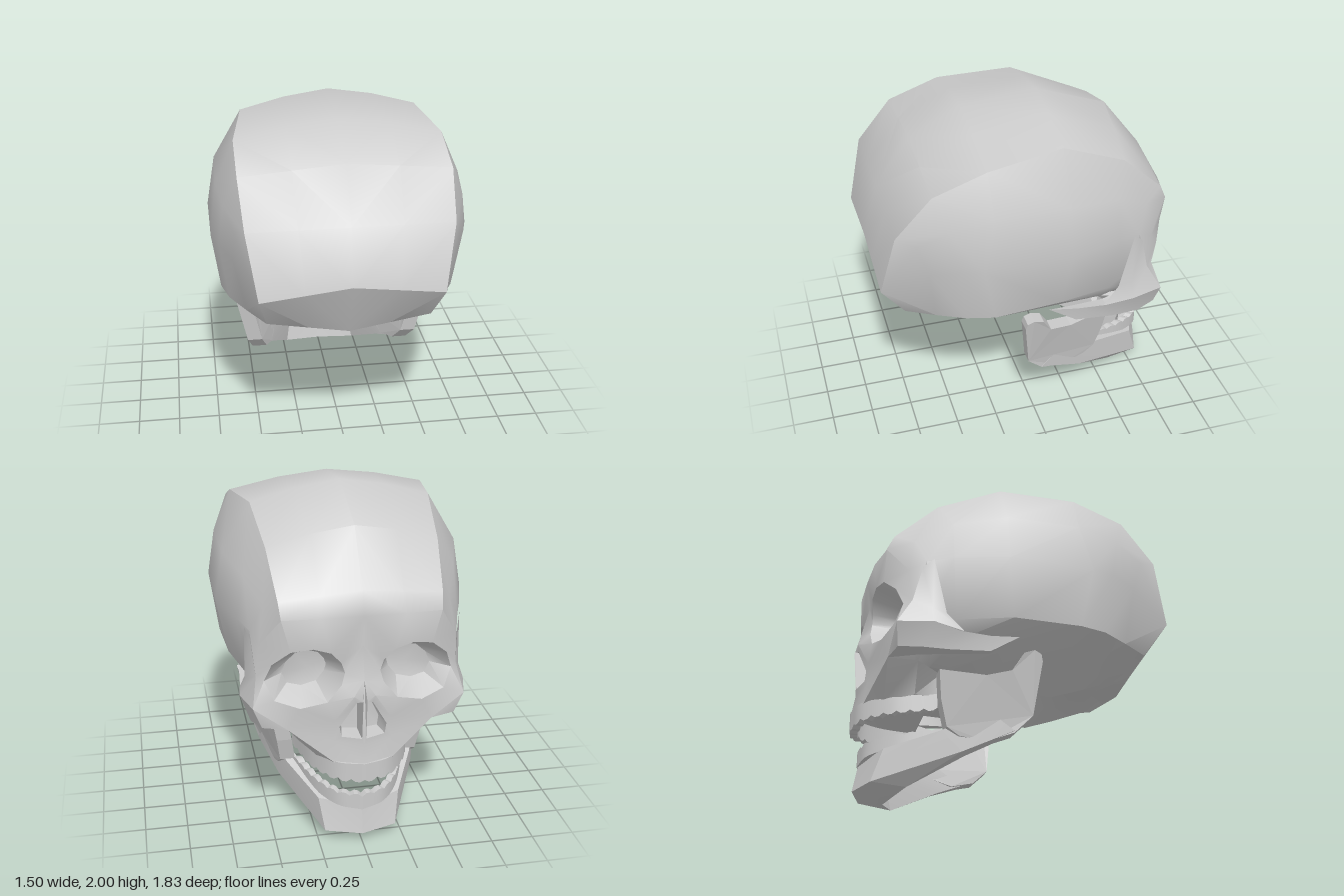
import * as THREE from 'three';
import { toCreasedNormals } from 'three/addons/utils/BufferGeometryUtils.js';

const bone = new THREE.MeshStandardMaterial({ color: 0xcccccc, side: THREE.DoubleSide });
const lerp = (p, q, t) => p.map((v, i) => v + (q[i] - v) * t);
const close = (ring) => [...ring, ring[0]];

// Skins grids of points (rows of columns) and mirrors them across x = 0
function mirroredSurface(name, grids, crease = 0.6) {
  const pos = [];
  const A = new THREE.Vector3(), B = new THREE.Vector3(), C = new THREE.Vector3();
  const tri = (a, b, c) => {
    A.fromArray(a); B.fromArray(b).sub(A); C.fromArray(c).sub(A);
    if (B.cross(C).length() < 1e-6) return;
    pos.push(...a, ...b, ...c);
    for (const p of [a, c, b]) pos.push(-p[0], p[1], p[2]);
  };
  for (const rows of grids) {
    for (let i = 0; i < rows.length - 1; i++) {
      for (let j = 0; j < rows[i].length - 1; j++) {
        tri(rows[i][j], rows[i + 1][j], rows[i + 1][j + 1]);
        tri(rows[i][j], rows[i + 1][j + 1], rows[i][j + 1]);
      }
    }
  }
  const g = new THREE.BufferGeometry();
  g.setAttribute('position', new THREE.Float32BufferAttribute(pos, 3));
  const mesh = new THREE.Mesh(toCreasedNormals(g, crease), bone);
  mesh.name = name;
  return mesh;
}

// Closed bar through four-cornered sections, with both ends capped
function bar(name, sections) {
  const caps = [sections[0], sections.at(-1)].map((s) => [[s[0], s[1]], [s[3], s[2]]]);
  return mirroredSurface(name, [sections.map(close), ...caps], 0.5);
}

// Pair of flat plates from a (z, y) outline, set sideways by a rule
function plates(name, outline, depth, xAt) {
  const group = new THREE.Group();
  group.name = name;
  const shape = new THREE.Shape(outline.map(([z, y]) => new THREE.Vector2(-z, y)));
  const g = new THREE.ExtrudeGeometry(shape, { depth, bevelEnabled: false });
  g.rotateY(Math.PI / 2);
  for (const side of [1, -1]) {
    const h = g.clone(), p = h.attributes.position;
    for (let i = 0; i < p.count; i++) p.setX(i, side * (p.getX(i) + xAt(p.getY(i), p.getZ(i))));
    if (side < 0) {
      // restore outward winding on the mirrored plate
      const a = p.array;
      for (let i = 0; i < a.length; i += 9) {
        for (let k = 0; k < 3; k++) [a[i + 3 + k], a[i + 6 + k]] = [a[i + 6 + k], a[i + 3 + k]];
      }
    }
    h.computeVertexNormals();
    group.add(new THREE.Mesh(h, bone));
  }
  return group;
}

// Row of teeth with a jagged biting edge; roots and tips are [front, back] heights
function teeth(name, arch, roots, tips) {
  const curve = new THREE.CatmullRomCurve3(arch.map(([x, z]) => new THREE.Vector3(x, 0, z)));
  const steps = 24;
  const sections = [];
  for (let i = 0; i <= steps; i++) {
    const t = i / steps, p = curve.getPointAt(t);
    const root = roots[0] + (roots[1] - roots[0]) * t;
    const tip = tips[0] + (tips[1] - tips[0]) * t;
    const bite = i % 3 ? tip : tip + (root - tip) * 0.15;
    const inX = p.x * 0.87, inZ = p.z + 0.05 * (1 - t);
    sections.push([[p.x, root, p.z], [p.x, bite, p.z], [inX, bite, inZ], [inX, root, inZ]]);
  }
  return bar(name, sections);
}

export function createModel() {
  const model = new THREE.Group();
  model.name = 'skull';

  // Eye socket: face around it, rim, and sunken back
  const around = [
    [0, 1.24, -.825], [0, 1.42, -.85], [.24, 1.42, -.845], [.45, 1.41, -.81], [.56, 1.23, -.69], [.58, 1.03, -.67],
    [.61, .87, -.76], [.42, .73, -.77], [.16, .8, -.84], [.06, .96, -.89], [0, 1.05, -.87]];
  const rim = [
    [.12, 1.14, -.82], [.18, 1.21, -.84], [.28, 1.24, -.835], [.4, 1.22, -.81], [.5, 1.13, -.755], [.54, 1.02, -.715],
    [.49, .91, -.755], [.35, .87, -.8], [.2, .91, -.83], [.12, 1.01, -.83], [.1, 1.08, -.82]];
  const eyeBack = [.28, 1.04, -.62];
  const sunk = rim.map((p) => lerp(p, eyeBack, .42)).map(([x, y]) => [x, y, -.64]);
  const eye = [rim.map(() => eyeBack), sunk, rim, around].map(close);

  // Nose opening beside the thin middle wall
  const noseOuter = [[0, 1.05, -.87], [.06, .96, -.89], [.16, .8, -.84], [.17, .67, -.84], [0, .65, -.88]];
  const noseRim = [[.012, .93, -.9], [.045, .92, -.885], [.135, .76, -.845], [.125, .7, -.85], [.012, .69, -.88]];
  const noseDeep = noseRim.map(([x, y]) => [x * .8 + .004, y, -.74]);
  const nose = [noseDeep.map(() => [.05, .78, -.73]), noseDeep, noseRim, noseOuter].map(close);

  // Braincase: crown strip from the back of the head to the brow
  const mid = [[0, .84, .78], [0, 1.18, .92], [0, 1.5, .83], [0, 1.79, .62], [0, 1.95, .31],
    [0, 2, -.14], [0, 1.85, -.57], [0, 1.55, -.8], around[1]];
  const edge = [[.47, .92, .78], [.52, 1.12, .92], [.58, 1.5, .83], [.6, 1.74, .62], [.6, 1.85, .31],
    [.53, 1.89, -.14], [.49, 1.73, -.52], [.46, 1.5, -.77], around[3]];
  const between = mid.map((p, i) => (i === 8 ? around[2] : lerp(p, edge[i], .5)));
  for (let i = 4; i < 7; i++) between[i][1] += .015;

  // Braincase: side and underside rows, back to front
  const upper = [edge[1], [.63, 1.46, .72], [.68, 1.55, .55], [.71, 1.6, .3], [.7, 1.6, -.14],
    [.61, 1.55, -.45], [.53, 1.44, -.66], around[3]];
  const widest = [edge[1], [.64, 1.27, .66], [.71, 1.3, .5], [.75, 1.3, .37], [.75, 1.3, -.14],
    [.655, 1.3, -.45], [.6, 1.28, -.6], around[4]];
  const lower = [edge[0], [.57, .93, .62], [.66, .94, .46], [.7, .94, .3], [.68, .95, -.1],
    [.6, .93, -.42], [.56, 1, -.57], around[5]];
  const lobes = [between[0], [.25, .8, .6], [.26, .73, .42], [.26, .67, .25], [.29, .685, -.1],
    [.36, .72, -.4], [.38, .72, -.52], [.38, .72, -.6]];
  const under = lower.map((p, i) => lerp(p, lobes[i], .5));
  for (let i = 4; i < 7; i++) under[i][0] += .05;
  const base = [mid[0], [0, .84, .6], [0, .83, .42], [0, .82, .25], [0, .8, -.1],
    [0, .77, -.4], [0, .74, -.5], [0, .72, -.55]];

  // Upper jaw: cheek line, gum line and sloping palate
  const cheekLine = [noseOuter[4], noseOuter[3], around[7], [.45, .72, -.6], [.36, .69, -.45]];
  const gumLine = [[0, .53, -.9], [.15, .53, -.86], [.25, .54, -.75], [.33, .56, -.59], [.34, .56, -.46]];
  const palate = gumLine.map((p, i) => [0, .57 + .03 * i, p[2] + .04]);

  model.add(mirroredSurface('braincaseAndFace', [
    [mid, between, edge],
    [edge.slice(1), upper, widest, lower, under, lobes, base],
    eye, nose,
    [[noseOuter[3], around[7]], [noseOuter[2], around[7]]],
    [palate, gumLine, cheekLine],
    [[lower[7], around[6]], [lobes[7], around[7]]],
  ]));

  // Cheekbone arch, and the panel rising to a point behind the eye
  const tip = [.62, .86, -.05];
  model.add(bar('cheekboneArch', [
    [tip, tip, tip, tip],
    [[.63, .84, -.22], [.62, .75, -.22], [.58, .75, -.22], [.58, .83, -.22]],
    [[.645, .84, -.4], [.62, .73, -.45], [.56, .73, -.45], [.57, .83, -.4]],
    [[.665, .87, -.56], [.61, .73, -.62], [.5, .73, -.62], [.58, .9, -.58]],
    [around[6], [.56, .74, -.74], around[7], rim[6]],
  ]));
  model.add(mirroredSurface('cheekPanel', [[
    [[.6, 1.24, -.62], around[5], around[6]],
    [[.625, 1.29, -.56], [.63, .97, -.56], [.665, .87, -.56]],
    [[.625, 1.29, -.56], [.625, .95, -.48], [.645, .84, -.38]],
  ]], 0.9));

  // Lower jaw: horseshoe body and upright rear plates
  model.add(bar('lowerJawBody', [
    [[0, .06, -.87], [0, .23, -.84], [0, .24, -.76], [0, 0, -.69]],
    [[.21, .06, -.8], [.24, .25, -.74], [.19, .26, -.67], [.23, .04, -.6]],
    [[.42, .21, -.33], [.38, .34, -.44], [.31, .35, -.42], [.35, .21, -.3]],
    [[.51, .33, -.05], [.48, .45, -.2], [.42, .45, -.2], [.43, .33, -.05]],
  ]));
  model.add(plates('lowerJawRearPlate', [[.09, .73], [.08, .77], [.04, .79], [-.02, .77], [-.08, .67], [-.22, .64], [-.48, .67],
    [-.46, .5], [-.42, .35], [-.35, .3], [-.2, .27], [-.05, .32], [.05, .42]], .09,
    (y, z) => .45 + .22 * (y - .42) + .25 * Math.min(z, 0)));

  // Teeth, along arches of (x, z) points from the middle to the back
  model.add(teeth('upperTeeth', [[0, -.905], [.15, -.865], [.27, -.72], [.35, -.46]], [.54, .57], [.42, .47]));
  model.add(teeth('lowerTeeth', [[0, -.85], [.13, -.815], [.24, -.68], [.34, -.42]], [.21, .31], [.31, .37]));
  return model;
}
